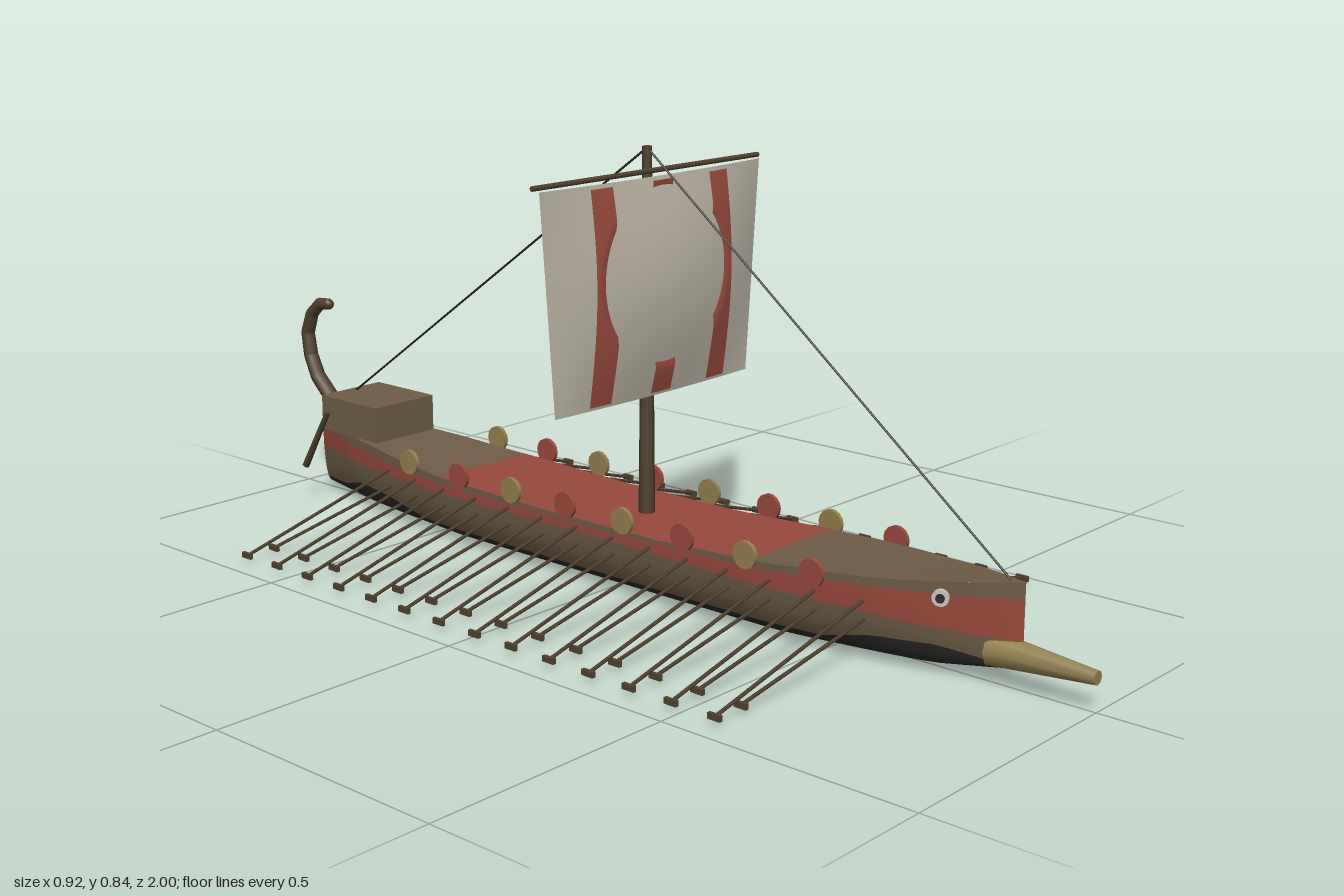
import * as THREE from 'three';

const mat = (name, color, side = THREE.FrontSide) => {
  const m = new THREE.MeshStandardMaterial({ color, side });
  m.name = name;
  return m;
};

// linear lookup in a table of [key, value] pairs with rising keys
function lookup(table, k) {
  if (k <= table[0][0]) return table[0][1];
  for (let i = 1; i < table.length; i++) {
    const [k0, v0] = table[i - 1], [k1, v1] = table[i];
    if (k <= k1) return v0 + (v1 - v0) * (k - k0) / (k1 - k0);
  }
  return table[table.length - 1][1];
}

// surface from a grid of points; its front is dv x du
function grid(nu, nv, fn) {
  const pos = [], idx = [];
  for (let i = 0; i <= nu; i++) for (let j = 0; j <= nv; j++) pos.push(...fn(i / nu, j / nv));
  for (let i = 0; i < nu; i++) for (let j = 0; j < nv; j++) {
    const a = i * (nv + 1) + j, b = a + 1, c = a + nv + 1, d = c + 1;
    idx.push(a, b, c, b, d, c);
  }
  const g = new THREE.BufferGeometry();
  g.setAttribute('position', new THREE.Float32BufferAttribute(pos, 3));
  g.setIndex(idx);
  g.computeVertexNormals();
  return g;
}

// hull lines along z
const STERN = -0.91, BOW = 0.86;
const beam = [[-0.91, 0.028], [-0.85, 0.05], [-0.75, 0.08], [-0.6, 0.104], [-0.43, 0.12], [0.37, 0.12],
  [0.5, 0.108], [0.6, 0.092], [0.7, 0.066], [0.78, 0.038], [0.86, 0.001]];
const keel = [[-0.91, 0.022], [-0.7, 0.012], [-0.4, 0.005], [0.4, 0.005], [0.7, 0.018], [0.86, 0.042]];
const sheer = [[-0.91, 0.185], [-0.7, 0.163], [-0.45, 0.147], [-0.15, 0.14], [0.15, 0.142], [0.4, 0.155], [0.65, 0.172], [0.86, 0.195]];
const pitchTop = [[-0.91, 0.035], [-0.82, 0.04], [-0.74, 0.065], [-0.62, 0.06], [-0.52, 0.035], [0.5, 0.035], [0.6, 0.06], [0.72, 0.065], [0.8, 0.05], [0.86, 0.055]];
const redLow = [[-0.91, 0.11], [-0.5, 0.112], [0, 0.115], [0.5, 0.108], [0.86, 0.09]];
const redHigh = [[-0.91, 0.155], [-0.5, 0.132], [0, 0.131], [0.4, 0.142], [0.86, 0.165]];

function halfWidth(y, z) {
  const k = lookup(keel, z), t = Math.min(1, Math.max(0, (y - k) / (lookup(sheer, z) - k)));
  return lookup(beam, z) * Math.pow(1 - Math.pow(1 - t, 2.5), 0.3);
}

// sail: half width, belly and the region where the belly pushes past the stripes
const SAIL_LOW = 0.378, SAIL_HIGH = 0.792;
const sailHalf = (y) => 0.268 + 0.034 * (y - SAIL_LOW) / (SAIL_HIGH - SAIL_LOW);
function sailZ(x, y) {
  const v = (y - SAIL_LOW) / (SAIL_HIGH - SAIL_LOW), u = x / sailHalf(y);
  return 0.04 + 0.043 * (1 - u * u) * (0.2 + 0.15 * v + 0.75 * Math.sin(Math.PI * v));
}
function stripeZ(x, y) {
  const e = (x / 0.165) ** 2 + ((y - 0.61) / 0.165) ** 2 - 1;
  return sailZ(x, y) + THREE.MathUtils.clamp(0.03 * e, -0.004, 0.004);
}

export function createModel() {
  const ship = new THREE.Group();
  const wood = mat('hullWood', 0x6f5d47), spar = mat('darkWood', 0x50412f);
  const pitch = mat('pitch', 0x2d2929), rope = mat('rope', 0x2b2620);
  const red = mat('redPaint', 0x994a3d), bronze = mat('bronze', 0x94804f);
  const eyeWhite = mat('eyeWhite', 0xc9c6be);
  const canvas = mat('sailCloth', 0xbbb4a5, THREE.DoubleSide);
  const redCloth = mat('redCloth', 0x994a3d, THREE.DoubleSide);

  const add = (name, geo, material, x = 0, y = 0, z = 0) => {
    const m = new THREE.Mesh(geo, material);
    m.name = name;
    m.position.set(x, y, z);
    ship.add(m);
    return m;
  };
  // straight round bar between two points
  const bar = (name, a, b, r0, r1, material, sides = 6) => {
    const p = new THREE.Vector3(...a), q = new THREE.Vector3(...b), d = q.clone().sub(p);
    const m = add(name, new THREE.CylinderGeometry(r1, r0, d.length(), sides), material);
    m.position.copy(p).add(q).multiplyScalar(0.5);
    m.quaternion.setFromUnitVectors(new THREE.Vector3(0, 1, 0), d.normalize());
    return m;
  };

  // hull planking in painted bands, with a matching transom
  const bands = [['hullBottom', keel, pitchTop, pitch, 10], ['hullSide', pitchTop, redLow, wood, 4],
    ['hullStripe', redLow, redHigh, red, 2], ['gunwale', redHigh, sheer, wood, 2]];
  for (const [name, low, high, material, rows] of bands) {
    const level = (z, t) => {
      const k = name === 'hullBottom' ? t * t : t;
      return lookup(low, z) + (lookup(high, z) - lookup(low, z)) * k;
    };
    for (const s of [1, -1]) {
      add(name, grid(60, rows, (u, v) => {
        const z = STERN + (BOW - STERN) * u, y = level(z, s > 0 ? v : 1 - v);
        return [s * halfWidth(y, z), y, z];
      }), material);
    }
    add('transom', grid(rows, 2, (u, v) => {
      const y = level(STERN, u);
      return [halfWidth(y, STERN) * (1 - 2 * v), y, STERN];
    }), material);
  }

  // deck: bare ends, red middle
  for (const [name, z0, z1, material] of [['sternDeck', STERN, -0.43, wood], ['midDeck', -0.43, 0.37, red], ['foreDeck', 0.37, BOW, wood]]) {
    add(name, grid(20, 2, (u, v) => {
      const z = z0 + (z1 - z0) * u;
      return [lookup(beam, z) * (1 - 2 * v), lookup(sheer, z), z];
    }), material);
  }

  // ram
  bar('ram', [0, 0.065, 0.8], [0, 0.065, 1], 0.032, 0.013, bronze, 8);

  // stern cabin and curled sternpost
  add('cabin', new THREE.BoxGeometry(0.16, 0.075, 0.175), wood, 0, 0.2025, -0.758);
  const curl = [[0.185, -0.885], [0.25, -0.955], [0.295, -0.977], [0.345, -0.985], [0.39, -0.968], [0.415, -0.94], [0.418, -0.912]];
  for (let i = 1; i < curl.length; i++) {
    const [y0, z0] = curl[i - 1], [y1, z1] = curl[i];
    const r = 0.018 - i * 0.0008;
    bar('sternpost', [0, y0, z0], [0, y1, z1], r, r - 0.0008, spar, 8);
    add('sternpostJoint', new THREE.SphereGeometry(r - 0.0008, 8, 6), spar, 0, y1, z1);
  }

  // mast, yard and stays
  bar('mast', [0, 0.13, 0.02], [0, 0.843, 0.02], 0.016, 0.009, spar, 8);
  bar('yard', [-0.31, 0.798, 0.03], [0.31, 0.798, 0.03], 0.005, 0.005, spar, 8);
  bar('forestay', [0, 0.84, 0.02], [0, 0.193, 0.83], 0.0022, 0.0022, rope, 5);
  bar('backstay', [0, 0.84, 0.02], [0, 0.238, -0.83], 0.0022, 0.0022, rope, 5);

  // sail and its red stripes
  add('sail', grid(30, 40, (u, v) => {
    const y = SAIL_LOW + (SAIL_HIGH - SAIL_LOW) * u, x = sailHalf(y) * (2 * v - 1);
    return [x, y, sailZ(x, y)];
  }), canvas);
  for (const cx of [-0.16, 0, 0.16]) {
    add('sailStripe', grid(40, 8, (u, v) => {
      const y = 0.385 + 0.4 * u, x = cx + 0.054 * (v - 0.5);
      return [x, y, stripeZ(x, y)];
    }), redCloth);
  }

  for (const s of [1, -1]) {
    // two tiers of oars with small blades
    for (let i = 0; i < 14; i++) {
      const z = 0.575 - i * 0.0927;
      for (const [name, y0, tip] of [['upperOar', 0.125, 0.455], ['lowerOar', 0.09, 0.389]]) {
        const root = Math.min(0.115, halfWidth(y0, z + 0.022) - 0.003);
        bar(name, [s * root, y0, z + 0.022], [s * tip, 0.02, z], 0.0035, 0.0035, spar, 5);
        add(name + 'Blade', new THREE.BoxGeometry(0.007, 0.011, 0.026), spar, s * tip, 0.02, z);
      }
    }
    // shields along the rail
    for (let i = 0; i < 8; i++) {
      const disc = add('shield', new THREE.CylinderGeometry(0.026, 0.026, 0.008, 14), i % 2 ? bronze : red,
        s * 0.125, 0.163, 0.512 - i * 0.147);
      disc.rotation.z = Math.PI / 2;
    }
    // steering oar
    bar('steeringOar', [s * 0.099, 0.213, -0.805], [s * 0.099, 0.08, -0.885], 0.006, 0.008, spar);
    // bow eye
    const dir = new THREE.Vector3(s * 0.92, 0, 0.4);
    const ring = (name, r, out, material) => {
      const d = add(name, new THREE.CylinderGeometry(r, r, 0.008, 14), material, s * 0.06 + dir.x * out, 0.154, 0.733 + dir.z * out);
      d.quaternion.setFromUnitVectors(new THREE.Vector3(0, 1, 0), dir.clone().normalize());
    };
    ring('eye', 0.015, 0, eyeWhite);
    ring('pupil', 0.008, 0.003, pitch);
  }
  return ship;
}
